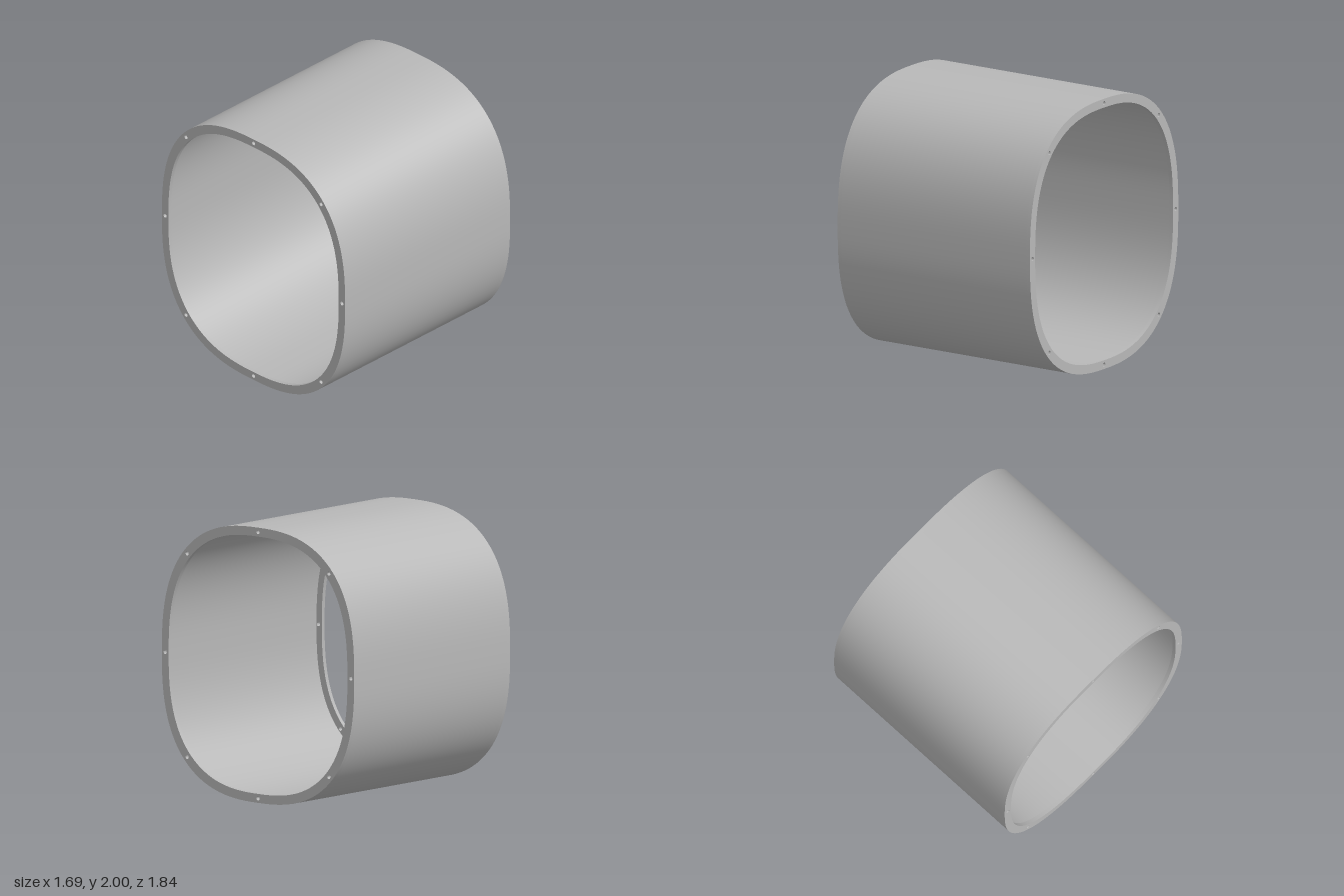
import * as THREE from 'three';
import { toCreasedNormals } from 'three/addons/utils/BufferGeometryUtils.js';

const HALF_LENGTH = 0.845, HALF_DEPTH = 0.92, HALF_HEIGHT = 1;
const RIM = 0.065, WALL = 0.014, FLANGE = 0.03, HOLE = 0.015, POWER = 2.57;

// point on the rounded-square section, pulled in from the outside by inset
function sectionPoint(t, inset) {
  const bend = (v) => Math.sign(v) * Math.pow(Math.abs(v), 2 / POWER);
  return new THREE.Vector2(
    (HALF_DEPTH - inset) * bend(Math.cos(t)),
    (HALF_HEIGHT - inset) * bend(Math.sin(t))
  );
}

function outline(inset, steps = 160) {
  return Array.from({ length: steps }, (_, i) => sectionPoint((i / steps) * Math.PI * 2, inset));
}

// extrude a section along x, centred, with smooth sides and sharp rims
function extrudeAlongX(shape, length) {
  const geometry = new THREE.ExtrudeGeometry(shape, { depth: length, bevelEnabled: false, curveSegments: 16 });
  geometry.translate(0, 0, -length / 2);
  geometry.rotateY(Math.PI / 2);
  return toCreasedNormals(geometry, 0.6);
}

function ring(thickness) {
  const shape = new THREE.Shape(outline(0));
  shape.holes.push(new THREE.Path(outline(thickness)));
  return shape;
}

export function createModel() {
  const group = new THREE.Group();
  group.name = 'flangedDuct';
  const grey = new THREE.MeshStandardMaterial({ color: 0xb8b8b8 });
  grey.name = 'grey metal';

  const add = (name, geometry, x) => {
    const mesh = new THREE.Mesh(geometry, grey);
    mesh.name = name;
    mesh.position.set(x, HALF_HEIGHT, 0);
    group.add(mesh);
  };

  // thin duct wall between the flanges
  add('ductWall', extrudeAlongX(ring(WALL), 2 * (HALF_LENGTH - FLANGE)), 0);

  // end flanges with eight bolt holes each
  const flangeShape = ring(RIM);
  for (let i = 0; i < 8; i++) {
    const p = sectionPoint((i * Math.PI) / 4, RIM / 2);
    const hole = new THREE.Path();
    hole.absarc(p.x, p.y, HOLE, 0, Math.PI * 2, true);
    flangeShape.holes.push(hole);
  }
  const flange = extrudeAlongX(flangeShape, FLANGE);
  for (const side of [-1, 1]) {
    add(side > 0 ? 'leftFlange' : 'rightFlange', flange, side * (HALF_LENGTH - FLANGE / 2));
  }
  return group;
}
